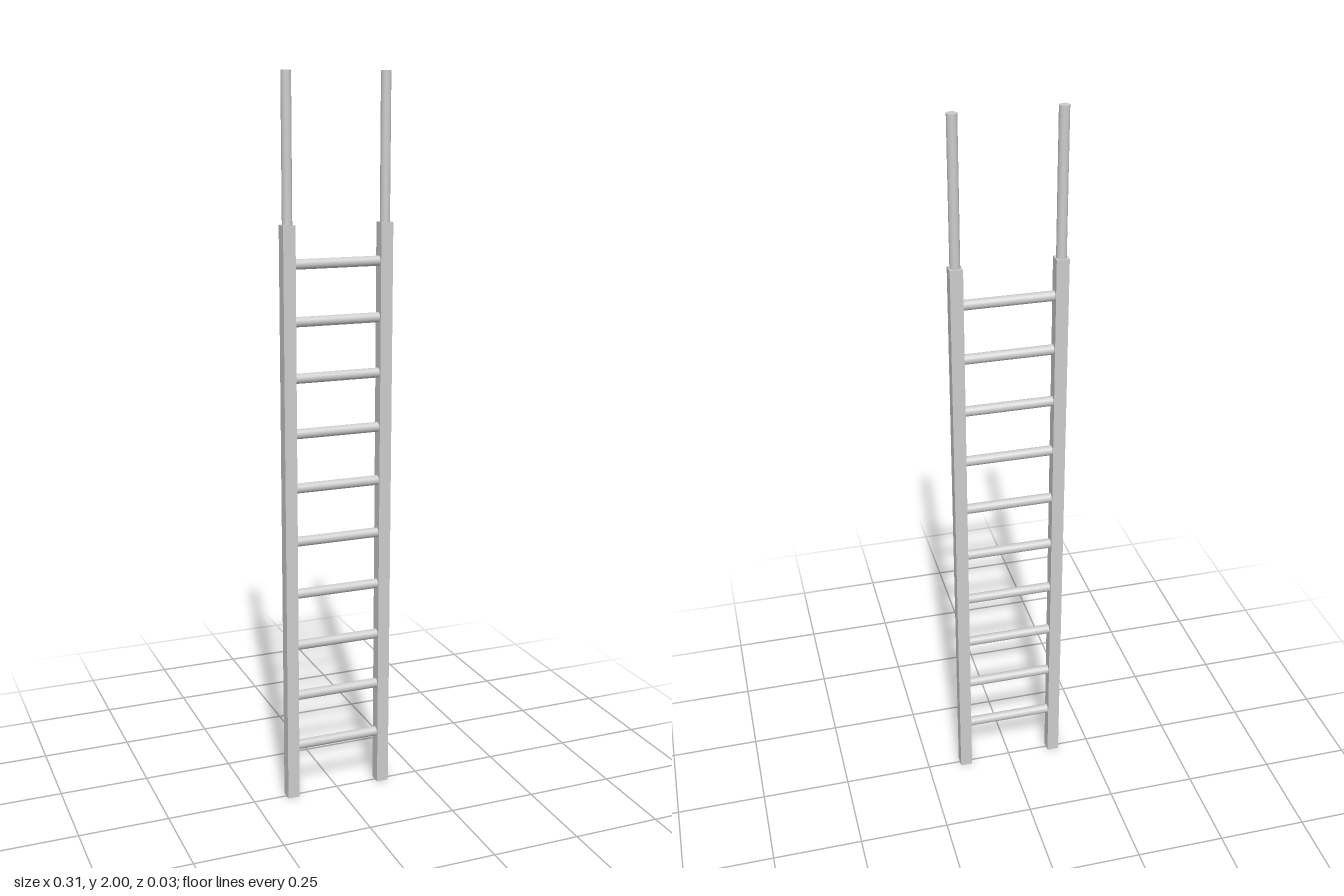
import * as THREE from 'three';

export function createModel() {
  const group = new THREE.Group();
  const material = new THREE.MeshStandardMaterial({ color: 0xcccccc });
  const railX = 0.137, railWidth = 0.034, railHeight = 1.615, radius = 0.0135;

  const add = (name, geometry, x, y) => {
    const mesh = new THREE.Mesh(geometry, material);
    mesh.name = name;
    mesh.position.set(x, y, 0);
    group.add(mesh);
    return mesh;
  };

  // Square side rails, each with a round handhold post on top
  const railGeometry = new THREE.BoxGeometry(railWidth, railHeight, railWidth);
  const postHeight = 2 - railHeight;
  const postGeometry = new THREE.CylinderGeometry(radius, radius, postHeight, 24);
  for (const [side, sign] of [['left', 1], ['right', -1]]) {
    add(side + 'Rail', railGeometry, sign * railX, railHeight / 2);
    add(side + 'HandholdPost', postGeometry, sign * railX, railHeight + postHeight / 2);
  }

  // Ten round rungs between the rails
  const rungLength = 2 * railX - railWidth;
  const rungGeometry = new THREE.CylinderGeometry(radius, radius, rungLength, 24).rotateZ(Math.PI / 2);
  for (let i = 0; i < 10; i++) add('rung' + (i + 1), rungGeometry, 0, 0.154 + i * 0.151);

  return group;
}
